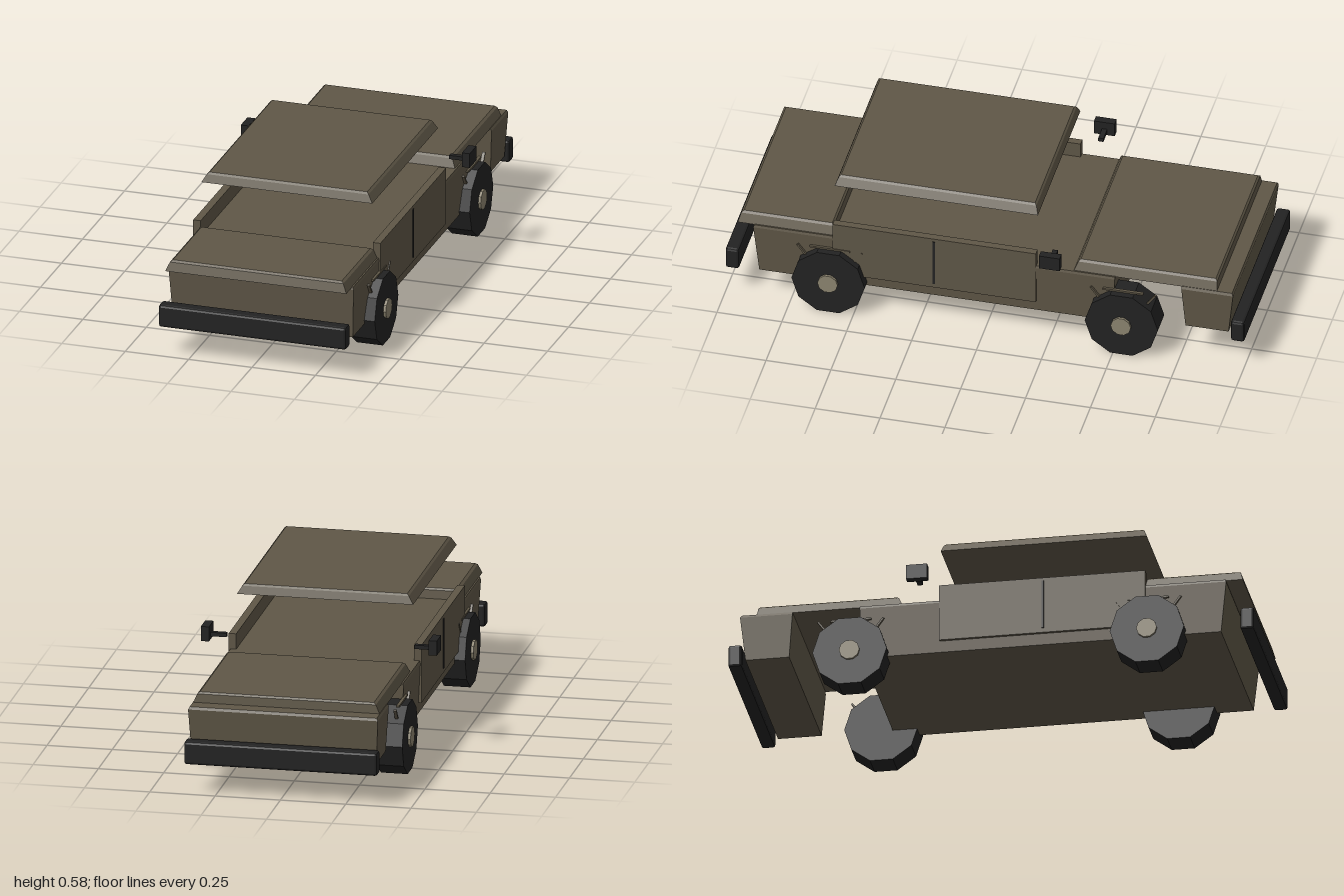
import * as THREE from 'three';
import { RoundedBoxGeometry } from 'three/addons/geometries/RoundedBoxGeometry.js';

const mat = (name, color) => new THREE.MeshStandardMaterial({ name, color, flatShading: true });

// Stacked rectangles, bottom to top: [y, halfWidth, zBack, zFront]
function loft(levels) {
  const pos = [], idx = [];
  for (const [y, x, zb, zf] of levels) pos.push(-x, y, zf, x, y, zf, x, y, zb, -x, y, zb);
  for (let l = 0; l < levels.length - 1; l++) {
    for (let i = 0; i < 4; i++) {
      const a = l * 4 + i, b = l * 4 + (i + 1) % 4;
      idx.push(a, b, b + 4, a, b + 4, a + 4);
    }
  }
  const t = (levels.length - 1) * 4;
  idx.push(0, 2, 1, 0, 3, 2, t, t + 1, t + 2, t, t + 2, t + 3);
  const g = new THREE.BufferGeometry();
  g.setAttribute('position', new THREE.Float32BufferAttribute(pos, 3));
  g.setIndex(idx);
  const flat = g.toNonIndexed();
  flat.computeVertexNormals();
  return flat;
}

export function createModel() {
  const model = new THREE.Group();
  model.name = 'vehicle';
  const paint = mat('olive paint', 0x5f5747);
  const black = mat('black rubber', 0x222222);
  const metal = mat('hub metal', 0x8c846f);

  const add = (name, geometry, material, x = 0, y = 0, z = 0, parent = model) => {
    const mesh = new THREE.Mesh(geometry, material);
    mesh.name = name;
    mesh.position.set(x, y, z);
    parent.add(mesh);
    return mesh;
  };
  const box = (w, h, d) => new THREE.BoxGeometry(w, h, d);

  // Body shell and tail section
  add('lowerBody', loft([[0.125, 0.355, -0.49, 0.872], [0.325, 0.365, -0.5, 0.893], [0.335, 0.362, -0.5, 0.89]]), paint);
  add('tailBox', loft([[0.152, 0.354, -0.936, -0.77], [0.325, 0.363, -0.955, -0.756], [0.335, 0.358, -0.95, -0.756]]), paint);

  // Raised lids and roof panel with chamfered upper edges
  add('frontLid', loft([[0.333, 0.357, 0.585, 0.955], [0.368, 0.342, 0.589, 0.945], [0.375, 0.333, 0.596, 0.936]]), paint);
  add('rearLid', loft([[0.333, 0.357, -0.892, -0.34], [0.368, 0.342, -0.889, -0.354], [0.375, 0.333, -0.882, -0.362]]), paint);
  add('roof', loft([[0.552, 0.337, -0.197, 0.586], [0.582, 0.319, -0.187, 0.575], [0.589, 0.311, -0.18, 0.567]]), paint);

  // Bumpers
  for (const s of [1, -1]) {
    add(s > 0 ? 'frontBumper' : 'rearBumper', new RoundedBoxGeometry(0.74, 0.09, 0.053, 1, 0.01), black, 0, 0.167, s * 0.9735);
  }

  for (const s of [1, -1]) {
    const side = s > 0 ? 'left' : 'right';

    // Door panel with its seam
    add(side + 'DoorPanel', box(0.029, 0.225, 0.783), paint, s * 0.3545, 0.2825, 0.1945);
    add(side + 'DoorSeam', box(0.006, 0.195, 0.009), black, s * 0.369, 0.285, 0.196);

    // Mirror
    add(side + 'MirrorArm', box(0.064, 0.015, 0.02), black, s * 0.392, 0.413, -0.27);
    add(side + 'MirrorHead', box(0.031, 0.057, 0.08), black, s * 0.436, 0.422, -0.269);

    for (const [end, z] of [['Front', 0.597], ['Rear', -0.533]]) {
      // Ten-sided wheel with hub disc
      const wheel = new THREE.Group();
      wheel.name = side + end + 'Wheel';
      wheel.position.set(0, 0.141, z);
      model.add(wheel);
      const tyre = new THREE.CylinderGeometry(0.141, 0.141, 0.102, 10).rotateZ(Math.PI / 2);
      add('tyre', tyre, black, s * 0.346, 0, 0, wheel);
      const hub = new THREE.CylinderGeometry(0.039, 0.039, 0.02, 10).rotateZ(Math.PI / 2);
      add('hub', hub, metal, s * 0.397, 0, 0, wheel);

      // Thin trim bars around the wheel opening
      add('archTop', box(0.012, 0.007, 0.155), paint, s * 0.366, 0.138, 0, wheel);
      for (const t of [1, -1]) {
        const bar = add('archSide', box(0.012, 0.075, 0.007), paint, s * 0.366, 0.108, t * 0.102, wheel);
        bar.rotation.x = t * 0.63;
      }
    }
  }
  return model;
}
